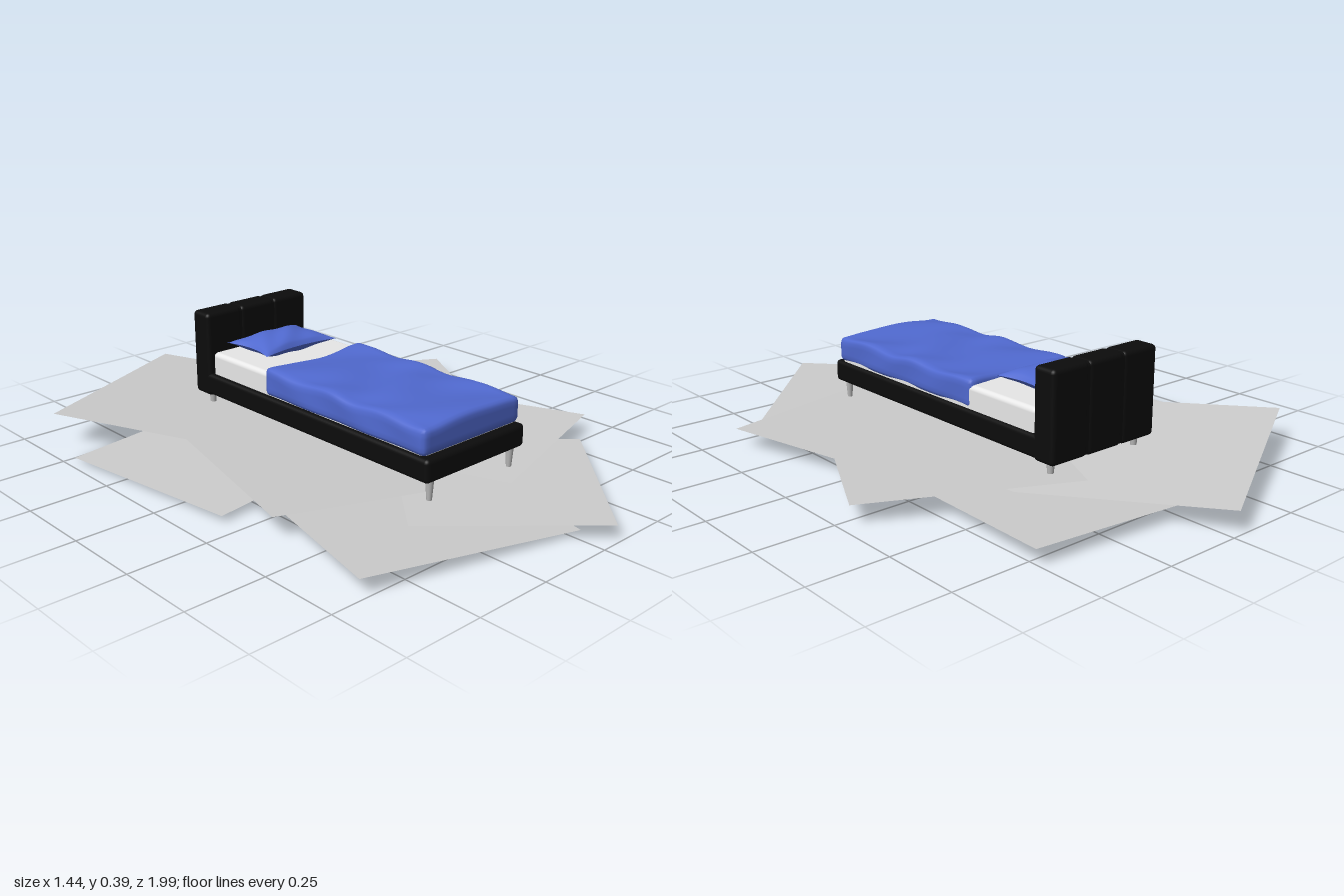
import * as THREE from 'three';
import { RoundedBoxGeometry } from 'three/addons/geometries/RoundedBoxGeometry.js';
import { mergeVertices } from 'three/addons/utils/BufferGeometryUtils.js';

const paint = (name, color, extra = {}) => {
  const m = new THREE.MeshStandardMaterial({ color, ...extra });
  m.name = name;
  return m;
};

// Move every vertex by a rule and give the result smooth normals
function sculpt(geometry, rule) {
  geometry.deleteAttribute('uv');
  geometry.deleteAttribute('normal');
  const g = mergeVertices(geometry, 1e-5);
  const p = g.attributes.position;
  const v = new THREE.Vector3();
  for (let i = 0; i < p.count; i++) {
    rule(v.fromBufferAttribute(p, i));
    p.setXYZ(i, v.x, v.y, v.z);
  }
  g.computeVertexNormals();
  return g;
}

export function createModel() {
  const model = new THREE.Group();
  const black = paint('black upholstery', 0x0c0c0c);
  const white = paint('white mattress', 0xe8e8e8);
  const blue = paint('blue fabric', 0x5069cf);
  const metal = paint('leg grey', 0xb8b8b8);
  const pale = paint('pale base', 0xe6dade);
  const grey = paint('light grey sheet', 0xcccccc, { side: THREE.DoubleSide });

  const add = (name, geometry, material, x = 0, y = 0, z = 0, parent = model) => {
    const mesh = new THREE.Mesh(geometry, material);
    mesh.name = name;
    mesh.position.set(x, y, z);
    parent.add(mesh);
    return mesh;
  };
  // Rounded block from its minimum and maximum corners
  const block = (name, mat, x0, x1, y0, y1, z0, z1, r, parent) =>
    add(name, new RoundedBoxGeometry(x1 - x0, y1 - y0, z1 - z0, 3, r), mat,
      (x0 + x1) / 2, (y0 + y1) / 2, (z0 + z1) / 2, parent);

  // Flat floor sheets: a corner and its two neighbours give the rectangle
  const sheets = [
    [[-0.02, 0.072, -1.0], [-0.70, 0.11, -0.63], [0.45, 0.012, -0.15]],
    [[0.51, 0.05, -0.785], [-0.22, 0.035, -0.84], [0.43, 0.015, 0.18]],
    [[0.13, 0.07, -0.59], [0.72, 0.06, -0.28], [-0.27, 0.03, 0.17]],
    [[-0.72, 0.01, -0.48], [-0.645, 0.02, 0.18], [0.135, 0.03, -0.575]],
    [[-0.645, 0.05, 0.735], [0.03, 0.012, 0.9], [-0.42, 0.05, -0.19]],
    [[-0.61, 0.07, 0.36], [-0.41, 0.08, -0.475], [0.02, 0.02, 0.51]],
    [[0.07, 0.045, 0.99], [0.525, 0.03, 0.53], [-0.54, 0.03, 0.39]],
    [[0.65, 0.06, 0.455], [0.07, 0.045, 0.62], [0.43, 0.03, -0.31]],
  ];
  const floor = new THREE.Group();
  floor.name = 'floorSheets';
  model.add(floor);
  for (const corners of sheets) {
    const [a, b, c] = corners.map((q) => new THREE.Vector3(...q));
    const d = b.clone().add(c).sub(a);
    // Wind the corners so the front of the sheet looks up
    const up = b.clone().sub(a).cross(c.clone().sub(a)).y > 0;
    const order = up ? [a, b, d, a, d, c] : [a, d, b, a, c, d];
    const g = new THREE.BufferGeometry().setFromPoints(order);
    g.computeVertexNormals();
    add('floorSheet', g, grey, 0, 0, 0, floor);
  }

  // Bed frame: base, rails and a headboard of three upholstered panels
  const cx = -0.011;
  block('bedFrame', black, -0.222, 0.2, 0.107, 0.18, -0.47, 0.56, 0.014);
  add('basePlate', new THREE.BoxGeometry(0.38, 0.006, 0.98), pale, cx, 0.104, 0.05);
  const headboard = new THREE.Group();
  headboard.name = 'headboard';
  model.add(headboard);
  block('headboardCore', black, -0.221, 0.199, 0.103, 0.384, -0.515, -0.44, 0.014, headboard);
  for (let i = 0; i < 3; i++) {
    const x = -0.222 + i * 0.1407;
    block('headboardPanel', black, x, x + 0.1407, 0.102, 0.386, -0.518, -0.436, 0.014, headboard);
  }

  // Tapered legs
  for (const x of [-0.185, 0.162])
    for (const z of [0.535, -0.472])
      add('leg', new THREE.CylinderGeometry(0.013, 0.008, 0.062, 16), metal, x, 0.076, z);

  // Mattress
  block('mattress', white, -0.206, 0.19, 0.15, 0.254, -0.437, 0.53, 0.016);

  // Blanket: rounded block with soft wrinkles
  const half = new THREE.Vector3(0.205, 0.044, 0.345);
  const r = 0.016;
  const blanket = sculpt(new THREE.BoxGeometry(0.41, 0.088, 0.69, 28, 6, 46), (v) => {
    const inner = v.clone();
    for (const k of ['x', 'y', 'z'])
      inner[k] = THREE.MathUtils.clamp(v[k], -half[k] + r, half[k] - r);
    const off = v.clone().sub(inner);
    if (off.length() > 0) v.copy(inner).addScaledVector(off.normalize(), r);
    const { x, y, z } = v;
    if (y > 0) v.y += 0.0035 * Math.sin(17 * x + 9 * z + 2 * Math.sin(11 * z))
      + 0.0025 * Math.sin(26 * z - 21 * x + 1.5 * Math.sin(14 * x));
    v.x += 0.002 * Math.sign(x) * Math.sin(24 * z + 30 * y);
    if (z < -0.3) v.z += 0.006 * Math.sin(16 * x + 1);
  });
  add('blanket', blanket, blue, cx, 0.224, 0.195);

  // Pillow: two puffed faces meeting at a pinched seam
  const pillow = new THREE.Group();
  pillow.name = 'pillow';
  model.add(pillow);
  for (const side of [1, -1]) {
    const g = new THREE.PlaneGeometry(2, 2, 28, 24).rotateX(-side * Math.PI / 2);
    const face = sculpt(g, (v) => {
      const u = v.x, w = v.z;
      const puff = Math.pow(Math.max(0, (1 - u * u) * (1 - w * w)), 0.55);
      v.x = 0.15 * u * (1 - 0.14 * (1 - w * w));
      v.z = 0.104 * w * (1 - 0.2 * (1 - u * u));
      v.y = side * 0.036 * puff + 0.003 * puff * Math.sin(7 * u + 4 * w);
    });
    add(side > 0 ? 'pillowTop' : 'pillowBottom', face, blue, -0.018, 0.286, -0.302, pillow);
  }
  return model;
}
